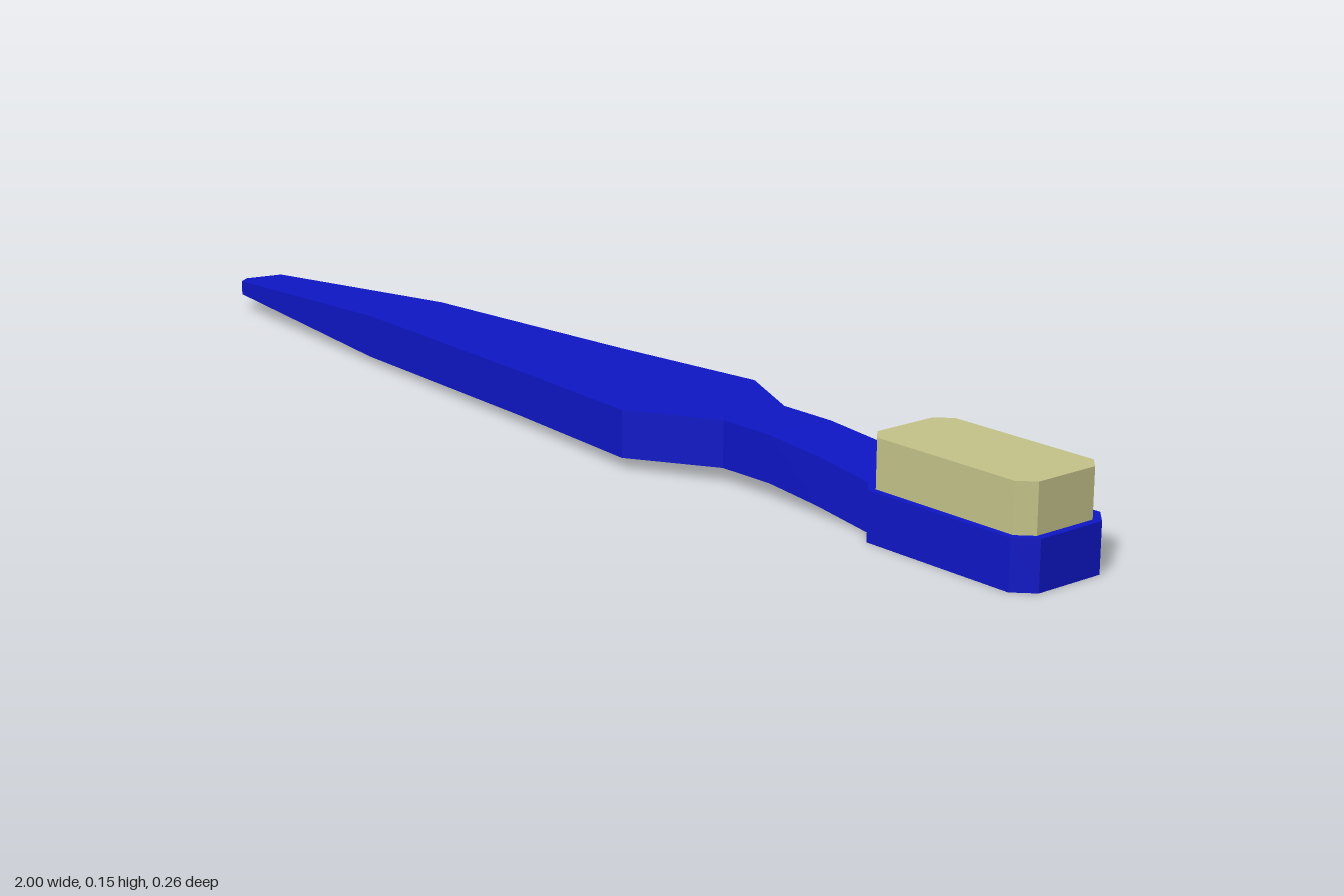
import * as THREE from 'three';

const blue = new THREE.MeshStandardMaterial({ color: 0x0e16c4, flatShading: true });
const cream = new THREE.MeshStandardMaterial({ color: 0xc3c188, flatShading: true });

// Handle stations: x, bottom y, top y, half width
const stations = [
  [-1, 0.034, 0.044, 0], [-0.95, 0.03, 0.054, 0.042], [-0.5, 0.012, 0.083, 0.075],
  [-0.05, 0.016, 0.088, 0.106], [0.235, 0.018, 0.092, 0.132], [0.38, 0.023, 0.096, 0.06],
  [0.48, 0.024, 0.096, 0.06], [0.58, 0.015, 0.088, 0.06], [0.685, 0.001, 0.074, 0.06],
];

// Rectangular sections joined along x
function loft(rows) {
  const pos = [], idx = [];
  rows.forEach(([x, yb, yt, w]) => pos.push(x, yt, w, x, yb, w, x, yb, -w, x, yt, -w));
  for (let i = 0; i < rows.length - 1; i++) {
    for (let j = 0; j < 4; j++) {
      const k = (j + 1) % 4;
      const a = i * 4 + j, b = i * 4 + k, c = b + 4, d = a + 4;
      idx.push(a, b, c, a, c, d);
    }
  }
  const e = (rows.length - 1) * 4;
  idx.push(e, e + 1, e + 2, e, e + 2, e + 3);
  const indexed = new THREE.BufferGeometry();
  indexed.setAttribute('position', new THREE.Float32BufferAttribute(pos, 3));
  indexed.setIndex(idx);
  const geo = indexed.toNonIndexed();
  geo.computeVertexNormals();
  return geo;
}

// Upright block with cut corners
function chamferedBlock(x0, x1, w, cut, y0, y1) {
  const outline = [
    [x0 + cut, -w], [x1 - cut, -w], [x1, cut - w], [x1, w - cut],
    [x1 - cut, w], [x0 + cut, w], [x0, w - cut], [x0, cut - w],
  ].map(([x, z]) => new THREE.Vector2(x, z));
  const geo = new THREE.ExtrudeGeometry(new THREE.Shape(outline), { depth: y1 - y0, bevelEnabled: false });
  return geo.rotateX(-Math.PI / 2).translate(0, y0, 0);
}

export function createModel() {
  const model = new THREE.Group();
  const add = (name, geometry, material) => {
    const mesh = new THREE.Mesh(geometry, material);
    mesh.name = name;
    model.add(mesh);
  };
  add('handle', loft(stations), blue);
  add('head', chamferedBlock(0.68, 1, 0.087, 0.028, 0, 0.075), blue);
  add('bristles', chamferedBlock(0.69, 0.988, 0.076, 0.022, 0.075, 0.149), cream);
  return model;
}
